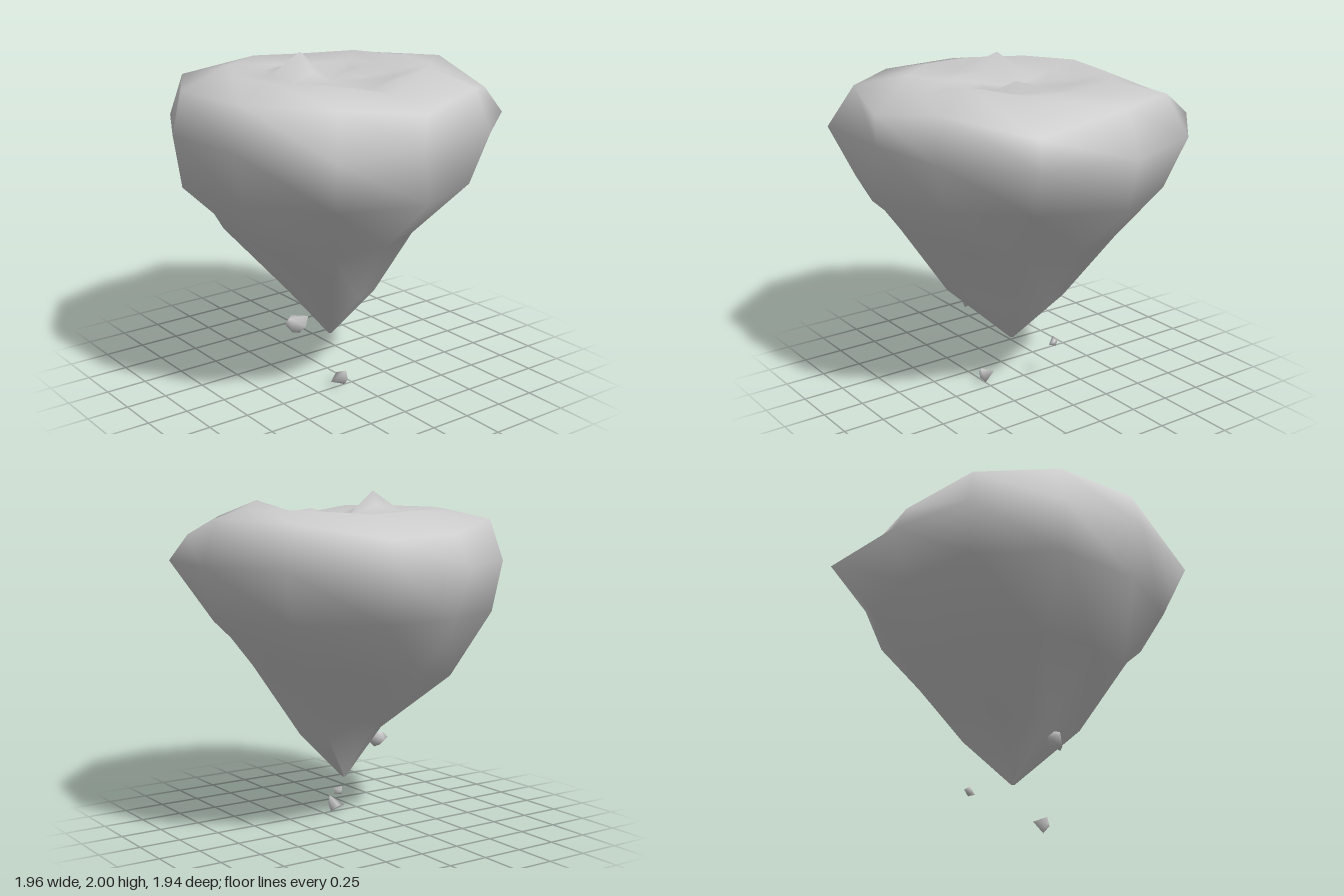
import * as THREE from 'three';
import { mergeVertices } from 'three/addons/utils/BufferGeometryUtils.js';
import { ConvexGeometry } from 'three/addons/geometries/ConvexGeometry.js';

const SIDES = 11;
const CENTRE = { x: 0.07, z: 0.03 };

// Rings from the middle of the top outwards, then down to the tip.
// r: one radius, or one for each of the 11 directions (from +x towards +z).
// y: base height; bump: height changes by direction.
const RINGS = [
  { y: 1.85, r: .19, bump: { 2: .05, 3: .15, 4: .07, 9: .05 } },
  { y: 1.87, r: .39, bump: { 0: -.04, 6: -.02 } },
  { y: 1.9, r: .59, bump: { 0: -.06, 6: -.02, 10: .04 } },
  { y: 1.84, r: [.88, .9, .9, .9, .86, .83, .87, .9, .92, .92, .86],
    bump: { 0: -.06, 5: -.07, 6: -.08, 8: .02, 9: -.09 } },
  { y: 1.6, r: [.87, 1.06, .97, .955, .94, .92, 1.11, 1.03, 1.01, 1.03, .95] },
  { y: 1.3, r: [.91, .91, .89, .91, .88, .82, .84, .9, .94, .8, .84] },
  { y: .97, r: [.55, .66, .6, .57, .64, .6, .62, .62, .57, .55, .51], bump: { 4: -.06 } },
  { y: .58, r: [.29, .39, .27, .27, .22, .26, .26, .32, .34, .25, .28], bump: { 5: .07, 6: .07 } },
  { y: .27, r: .012 },
];

// Joins the rings into one smooth surface, closed at the hub and the tip.
function islandGeometry() {
  const verts = [];
  for (const { y, r, bump = {} } of RINGS) {
    for (let k = 0; k < SIDES; k++) {
      const a = (k / SIDES) * Math.PI * 2 + 0.035;
      const radius = Array.isArray(r) ? r[k] : r;
      verts.push(CENTRE.x + radius * Math.cos(a), y + (bump[k] || 0), CENTRE.z + radius * Math.sin(a));
    }
  }
  const hub = verts.length / 3;
  verts.push(CENTRE.x, 1.83, CENTRE.z, CENTRE.x, 0.268, CENTRE.z);

  const index = [];
  const last = (RINGS.length - 1) * SIDES;
  for (let k = 0; k < SIDES; k++) {
    const n = (k + 1) % SIDES;
    index.push(hub, n, k);
    for (let i = 0; i < last; i += SIDES) {
      const a = i + k, b = i + n, c = a + SIDES, d = b + SIDES;
      index.push(a, b, c, b, d, c);
    }
    index.push(last + k, last + n, hub + 1);
  }
  const geo = new THREE.BufferGeometry();
  geo.setAttribute('position', new THREE.Float32BufferAttribute(verts, 3));
  geo.setIndex(index);
  geo.computeVertexNormals();
  return geo;
}

// Small stone: convex hull of a few corners with smooth normals.
function stoneGeometry(corners) {
  const hull = new ConvexGeometry(corners.map((p) => new THREE.Vector3(...p)));
  hull.deleteAttribute('normal');
  const geo = mergeVertices(hull);
  geo.computeVertexNormals();
  return geo;
}

const STONES = {
  largeFloatingStone: [[.11, .45, .36], [.15, .49, .37], [.22, .49, .3], [.225, .43, .32],
    [.2, .39, .35], [.19, .4, .39], [.16, .45, .425], [.17, .48, .4], [.15, .42, .32]],
  smallFloatingStone: [[-.157, .255, -.14], [-.13, .275, -.12], [-.11, .265, -.165],
    [-.088, .235, -.14], [-.13, .227, -.125], [-.12, .228, -.165]],
  lowestFloatingStone: [[.18, .055, .065], [.275, .1, .06], [.288, .045, .06], [.25, 0, .055], [.235, .035, .145]],
};

export function createModel() {
  const group = new THREE.Group();
  group.name = 'floatingIsland';
  const material = new THREE.MeshStandardMaterial({ color: 0xcccccc });
  const add = (name, geometry) => {
    const mesh = new THREE.Mesh(geometry, material);
    mesh.name = name;
    group.add(mesh);
  };
  add('islandRock', islandGeometry());
  for (const [name, corners] of Object.entries(STONES)) add(name, stoneGeometry(corners));
  return group;
}
